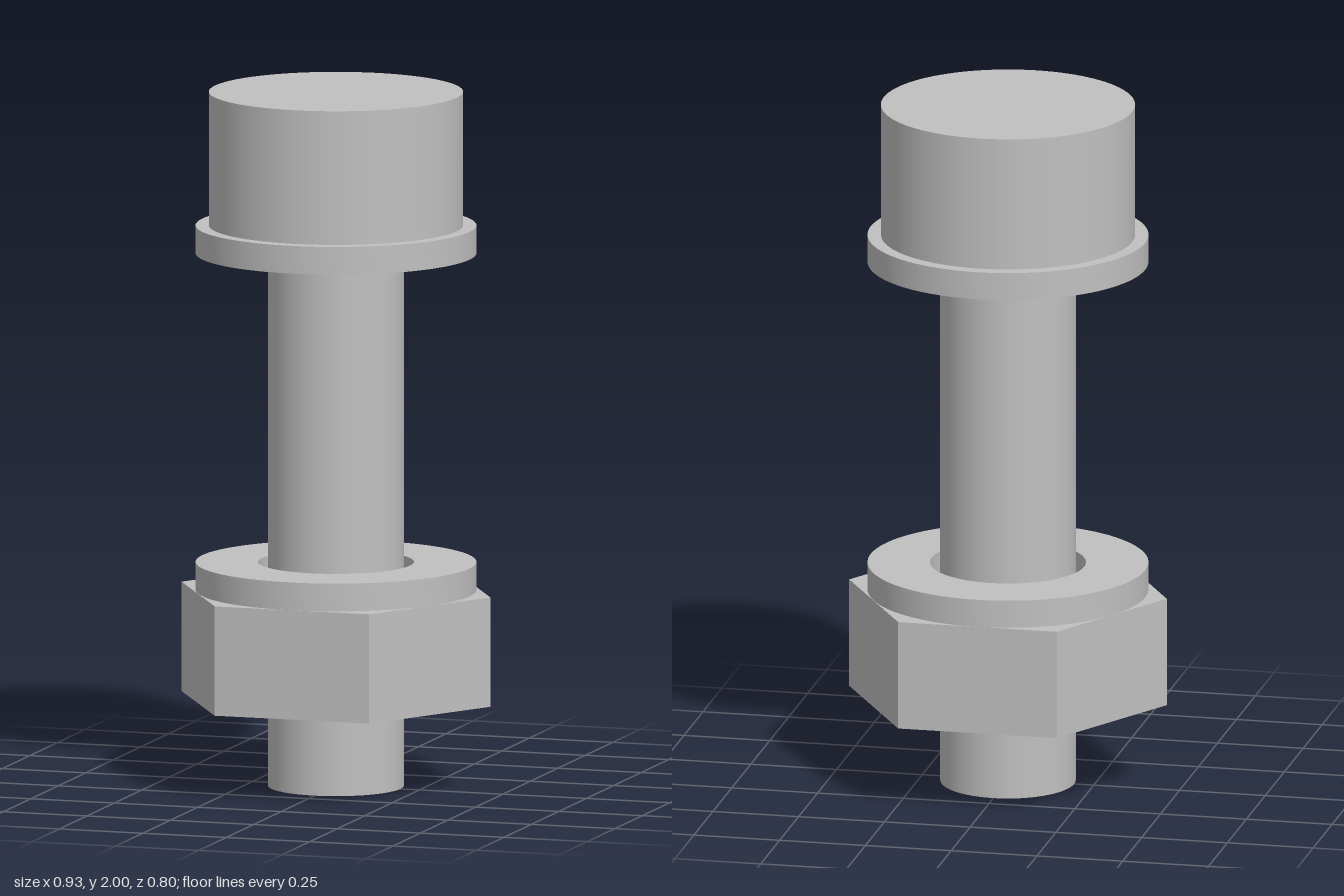
import * as THREE from 'three';
import { toCreasedNormals } from 'three/addons/utils/BufferGeometryUtils.js';

export function createModel() {
  const model = new THREE.Group();
  model.name = 'boltAssembly';
  const steel = new THREE.MeshStandardMaterial({ color: 0xc0c0c0 });
  steel.name = 'steel';

  const add = (name, geometry, y = 0) => {
    const mesh = new THREE.Mesh(geometry, steel);
    mesh.name = name;
    mesh.position.y = y;
    model.add(mesh);
  };

  // Upright solid cylinder between two heights
  const cylinder = (name, radius, bottom, top) =>
    add(name, new THREE.CylinderGeometry(radius, radius, top - bottom, 96), (top + bottom) / 2);

  // Flat ring with a clearance hole around the shaft
  const washer = (name, bottom) => {
    const inner = 0.222, outer = 0.4, height = 0.08;
    const profile = [[inner, 0], [outer, 0], [outer, height], [inner, height], [inner, 0]]
      .map(([r, y]) => new THREE.Vector2(r, y));
    add(name, toCreasedNormals(new THREE.LatheGeometry(profile, 96), 0.6), bottom);
  };

  // Bolt
  cylinder('shaft', 0.193, 0, 1.62);
  cylinder('head', 0.362, 1.615, 2);

  // Washers under the head and on the nut
  washer('headWasher', 1.535);
  washer('nutWasher', 0.565);

  // Hexagonal nut with corners on the x axis and a bore for the shaft
  const hexagon = new THREE.Shape(Array.from({ length: 6 }, (_, i) =>
    new THREE.Vector2(0.463 * Math.cos(i * Math.PI / 3), 0.463 * Math.sin(i * Math.PI / 3))));
  const bore = new THREE.Path();
  bore.absarc(0, 0, 0.193, 0, Math.PI * 2, true);
  hexagon.holes.push(bore);
  const nut = new THREE.ExtrudeGeometry(hexagon, { depth: 0.315, bevelEnabled: false, curveSegments: 48 });
  nut.rotateX(-Math.PI / 2);
  add('nut', nut, 0.25);

  return model;
}
